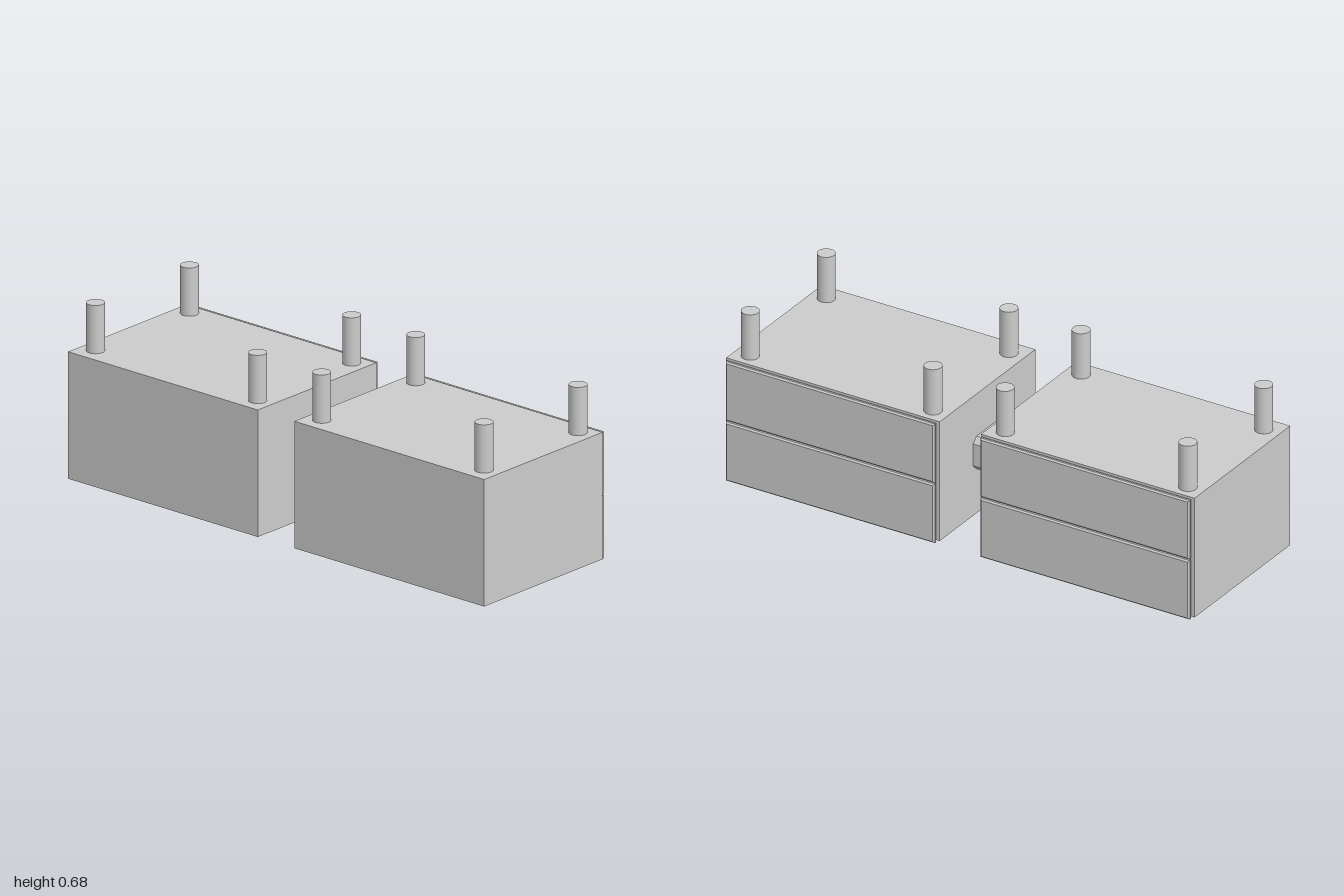
import * as THREE from 'three';

const material = new THREE.MeshStandardMaterial({ color: 0xcccccc });

function add(parent, name, geometry, x, y, z) {
  const mesh = new THREE.Mesh(geometry, material);
  mesh.name = name;
  mesh.position.set(x, y, z);
  parent.add(mesh);
  return mesh;
}

// Flat panel with chamfered edges, centred on the origin
function chamferedPanel(w, h, d, c) {
  const x = w / 2 - c, y = h / 2 - c;
  const shape = new THREE.Shape([[-x, -y], [x, -y], [x, y], [-x, y]].map(p => new THREE.Vector2(...p)));
  const geometry = new THREE.ExtrudeGeometry(shape, {
    depth: d - 2 * c, bevelEnabled: true, bevelSize: c, bevelThickness: c, bevelSegments: 1,
  });
  return geometry.translate(0, 0, c - d / 2);
}

// Bar along x whose four long edges are chamfered
function chamferedBar(length, h, d, c) {
  const a = d / 2, b = h / 2;
  const outline = [
    [-a + c, -b], [a - c, -b], [a, -b + c], [a, b - c],
    [a - c, b], [-a + c, b], [-a, b - c], [-a, -b + c],
  ];
  const shape = new THREE.Shape(outline.map(p => new THREE.Vector2(...p)));
  const geometry = new THREE.ExtrudeGeometry(shape, { depth: length, bevelEnabled: false });
  return geometry.translate(0, 0, -length / 2).rotateY(Math.PI / 2);
}

export function createModel() {
  const model = new THREE.Group();
  model.name = 'twinCabinets';

  const boxGeometry = new THREE.BoxGeometry(0.912, 0.49, 0.649);
  const panelGeometry = chamferedPanel(0.893, 0.242, 0.02, 0.006);
  const postGeometry = new THREE.CylinderGeometry(0.034, 0.034, 0.187, 32);

  for (const side of [-1, 1]) {
    const cabinet = new THREE.Group();
    cabinet.name = side > 0 ? 'leftCabinet' : 'rightCabinet';
    cabinet.position.x = side * 0.544;
    add(cabinet, 'cabinetBody', boxGeometry, 0, 0.248, 0.012);

    // Two stacked panels just behind the body
    add(cabinet, 'lowerPanel', panelGeometry, 0, 0.121, -0.326);
    add(cabinet, 'upperPanel', panelGeometry, 0, 0.368, -0.326);

    // Corner posts on the top face
    for (const x of [-0.39, 0.39]) {
      for (const z of [-0.253, 0.262]) add(cabinet, 'cornerPost', postGeometry, x, 0.5855, z);
    }
    model.add(cabinet);
  }

  // Bar joining the two cabinets
  add(model, 'connectingBar', chamferedBar(0.178, 0.134, 0.18, 0.022), 0, 0.253, 0.004);

  return model;
}
